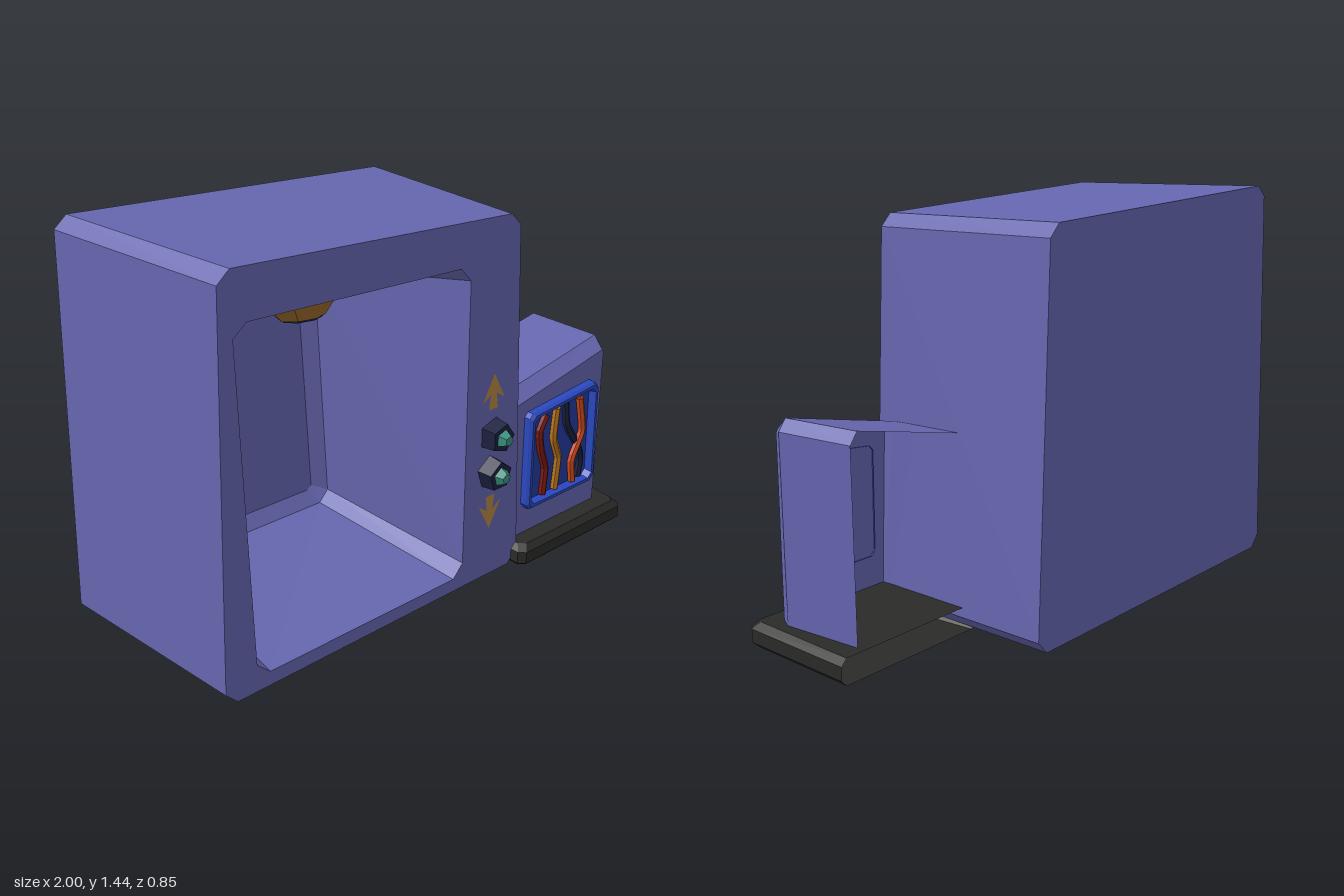
import * as THREE from 'three';

const paint = (color) =>
  new THREE.MeshStandardMaterial({ color, flatShading: true, side: THREE.DoubleSide });
const purple = paint(0x6666b0), black = paint(0x2a2a28), navy = paint(0x1c2040), teal = paint(0x3a9080),
  amber = paint(0xb58442), brass = paint(0x9a6a2c), blue = paint(0x2a48c0), deepBlue = paint(0x223a9c);

function add(parent, name, geometry, material, x = 0, y = 0, z = 0) {
  const mesh = new THREE.Mesh(geometry, material);
  mesh.name = name;
  mesh.position.set(x, y, z);
  parent.add(mesh);
  return mesh;
}

// Joins a list of cross-section rings, with optional flat caps
function loft(rings, { closed = true, capStart = false, capEnd = false } = {}) {
  const p = [];
  const tri = (a, b, c) => p.push(...a, ...b, ...c);
  const n = rings[0].length;
  for (let r = 0; r < rings.length - 1; r++) {
    for (let i = 0; i < (closed ? n : n - 1); i++) {
      const j = (i + 1) % n, a = rings[r], b = rings[r + 1];
      tri(a[i], a[j], b[j]);
      tri(a[i], b[j], b[i]);
    }
  }
  const first = rings[0], last = rings[rings.length - 1];
  for (let i = 1; i < n - 1; i++) {
    if (capStart) tri(first[0], first[i + 1], first[i]);
    if (capEnd) tri(last[0], last[i], last[i + 1]);
  }
  const g = new THREE.BufferGeometry();
  g.setAttribute('position', new THREE.Float32BufferAttribute(p, 3));
  g.computeVertexNormals();
  return g;
}

const atZ = (pts, z) => pts.map(([x, y]) => [x, y, z]);
const toShape = (pts) => new THREE.Shape(pts.map(([x, y]) => new THREE.Vector2(x, y)));

// Flat plate in the xy plane with a hole
function plate(outer, hole) {
  const s = toShape(outer);
  s.holes.push(toShape(hole));
  return new THREE.ShapeGeometry(s);
}

function buildCabinet(root) {
  const g = new THREE.Group();
  g.name = 'cabinet';
  root.add(g);
  const back = [[-0.955, 0.01], [0.425, 0.01], [0.47, 0.055], [0.415, 1.325],
    [0.37, 1.37], [-0.91, 1.44], [-0.957, 1.4], [-1, 0.055]];
  const front = back.map(([x, y]) => [x + (x < 0 ? 0.07 : -0.07), y]);
  const opening = [[-0.755, 0.063], [0.07, 0.06], [0.115, 0.11], [0.115, 1.18],
    [0.07, 1.23], [-0.79, 1.27], [-0.84, 1.23], [-0.805, 0.11]];
  const deep = [[-0.68, 0.105], [0.03, 0.1], [0.07, 0.145], [0.025, 1.07],
    [-0.02, 1.11], [-0.71, 1.155], [-0.76, 1.11], [-0.725, 0.15]];
  const panel = [[-0.67, 0.155], [0, 0.15], [0.02, 0.165], [-0.025, 1.06],
    [-0.04, 1.1], [-0.69, 1.145], [-0.71, 1.1], [-0.695, 0.17]];
  add(g, 'cabinetShell', loft([atZ(back, -0.42), atZ(front, 0.34)], { capStart: true }), purple);
  add(g, 'cabinetFront', plate(front, opening), purple, 0, 0, 0.34);
  add(g, 'cavity', loft([atZ(opening, 0.34), atZ(deep, -0.36), atZ(panel, -0.4)], { capEnd: true }), purple);
}

function buildLamp(root) {
  const g = new THREE.Group();
  g.name = 'ceilingLamp';
  g.position.set(-0.37, 1.2, 0.04);
  g.rotation.x = -0.165;
  root.add(g);
  add(g, 'lampCap', new THREE.CylinderGeometry(0.11, 0.14, 0.05, 8), navy, 0, -0.005, 0);
  add(g, 'lampShade', new THREE.CylinderGeometry(0.135, 0.08, 0.07, 8), brass, 0, -0.065, 0);
  add(g, 'lampLens', new THREE.CylinderGeometry(0.074, 0.07, 0.01, 8), navy, 0, -0.102, 0);
}

function buildControls(root) {
  // Pentagonal push buttons
  [[0.243, 0.585, 0], [0.237, 0.44, Math.PI / 2]].forEach(([x, y, turn]) => {
    const g = new THREE.Group();
    g.name = 'button';
    g.position.set(x, y, 0.34);
    g.rotation.z = turn - Math.PI / 2;
    root.add(g);
    const rim = new THREE.CylinderGeometry(0.055, 0.062, 0.06, 5).rotateX(Math.PI / 2).rotateZ(Math.PI);
    add(g, 'buttonRim', rim, navy, 0, 0, 0.027);
    const cap = new THREE.CylinderGeometry(0.02, 0.036, 0.03, 5).rotateX(Math.PI / 2).rotateZ(Math.PI);
    add(g, 'buttonCap', cap, teal, 0, 0, 0.07);
  });
  // Up and down arrows
  const half = [[0, 0.115], [0.055, 0.012], [0.014, 0.04], [0.022, -0.018]];
  const arrow = [...half, ...half.slice(1).reverse().map(([x, y]) => [-x, y])];
  [[0.7, 1], [0.322, -1]].forEach(([y, dir]) => {
    const pts = arrow.map(([x, v]) => [x * dir, v * dir]);
    add(root, dir > 0 ? 'upArrow' : 'downArrow', new THREE.ShapeGeometry(toShape(pts)), amber, 0.243, y, 0.343);
  });
}

function buildSideBox(root) {
  const g = new THREE.Group();
  g.name = 'sideBox';
  root.add(g);
  // Housing, open at the back and below
  const body = [[0.9, 0.085], [0.91, 0.725], [0.88, 0.765], [0.39, 0.67], [0.405, 0.085]];
  const face = [[0.87, 0.085], [0.876, 0.71], [0.868, 0.722], [0.383, 0.625], [0.405, 0.085]];
  add(g, 'housing', loft([atZ(body, -0.05), atZ(body, 0.26), atZ(face, 0.31)],
    { closed: false, capEnd: true }), purple);

  // Bevelled frame around the wiring recess
  const outer = [[0.463, 0.198], [0.806, 0.198], [0.828, 0.22], [0.822, 0.6],
    [0.8, 0.62], [0.463, 0.59], [0.447, 0.573], [0.447, 0.22]];
  const shrink = (k) => outer.map(([x, y]) => [0.637 + (x - 0.637) * k, 0.406 + (y - 0.406) * k]);
  add(g, 'panelFrame', loft([atZ(outer, 0.305), atZ(outer, 0.335), atZ(shrink(0.96), 0.347),
    atZ(shrink(0.9), 0.347), atZ(shrink(0.87), 0.316)]), blue);
  add(g, 'panelBack', new THREE.ShapeGeometry(toShape(shrink(0.88))), deepBlue, 0, 0, 0.316);

  // Kinked wires
  const wires = [
    [0x7a1a14, 0.328, [[0.545, 0.56], [0.512, 0.5], [0.525, 0.42], [0.553, 0.34], [0.545, 0.232]]],
    [0xb8741c, 0.328, [[0.603, 0.57], [0.592, 0.45], [0.625, 0.36], [0.613, 0.232]]],
    [0x1c2040, 0.322, [[0.656, 0.575], [0.672, 0.477], [0.747, 0.36], [0.763, 0.3], [0.752, 0.235]]],
    [0xd04a1c, 0.332, [[0.726, 0.575], [0.752, 0.434], [0.699, 0.327], [0.71, 0.232]]],
  ];
  wires.forEach(([color, z, pts]) => {
    const path = new THREE.CatmullRomCurve3(pts.map(([x, y]) => new THREE.Vector3(x, y, z)), false, 'catmullrom', 0.2);
    add(g, 'wire', new THREE.TubeGeometry(path, 16, 0.015, 6), paint(color));
  });
}

function buildBase(root) {
  // Chamfered plinth, open at the back where it meets the cabinet
  const ring = (d, y) => [[0.372 + d, -0.08], [0.372 + d, 0.375 - d], [0.395 + d, 0.398 - d],
    [0.93 - d, 0.398 - d], [0.952 - d, 0.375 - d], [1 - d, -0.08]].map(([x, z]) => [x, y, z]);
  add(root, 'plinth', loft([ring(0.02, 0), ring(0, 0.02), ring(0, 0.066), ring(0.022, 0.088)],
    { closed: false, capStart: true, capEnd: true }), black);
}

export function createModel() {
  const root = new THREE.Group();
  root.name = 'wallConsole';
  buildCabinet(root);
  buildLamp(root);
  buildControls(root);
  buildSideBox(root);
  buildBase(root);
  return root;
}
